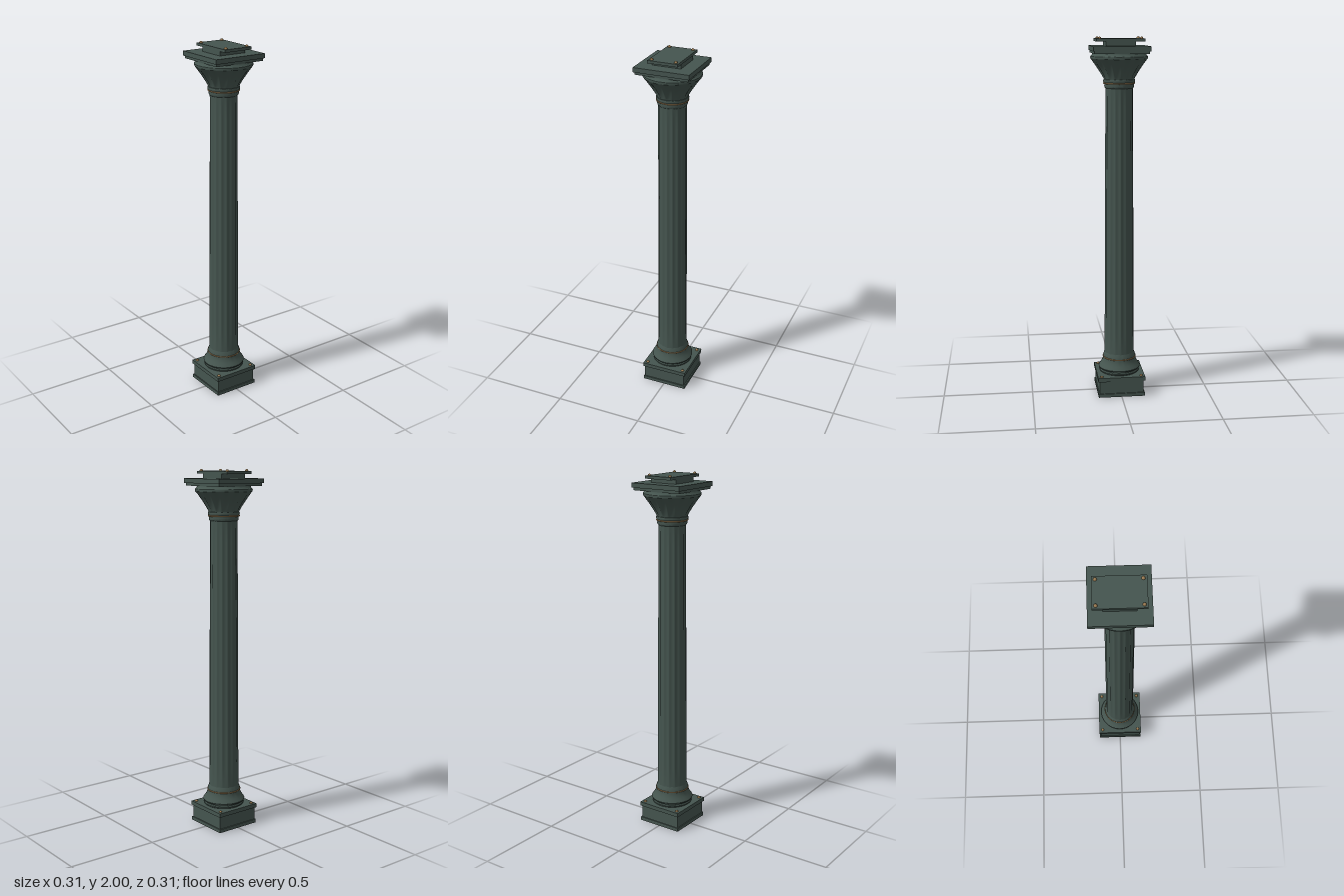
import * as THREE from 'three';
import { mergeVertices, toCreasedNormals } from 'three/addons/utils/BufferGeometryUtils.js';

const iron = new THREE.MeshStandardMaterial({ color: 0x45554f });
iron.name = 'dark green iron';
const bronze = new THREE.MeshStandardMaterial({ color: 0x977850 });
bronze.name = 'bronze';

const FLUTES = 16;

export function createModel() {
  const group = new THREE.Group();
  group.name = 'column';

  const add = (name, geometry, material = iron, x = 0, y = 0, z = 0) => {
    const mesh = new THREE.Mesh(geometry, material);
    mesh.name = name;
    mesh.position.set(x, y, z);
    group.add(mesh);
    return mesh;
  };
  // square or rectangular slab between two heights
  const slab = (name, halfX, halfZ, y0, y1) =>
    add(name, new THREE.BoxGeometry(halfX * 2, y1 - y0, halfZ * 2), iron, 0, (y0 + y1) / 2);
  const points = (list) => list.map(([r, y]) => new THREE.Vector2(r, y));
  // turned moulding with crisp edges
  const turned = (name, list) =>
    add(name, toCreasedNormals(new THREE.LatheGeometry(points(list), 64), 0.6));
  // turned surface with shallow flutes; depth(y) gives the cut
  const fluted = (name, list, depth) => {
    let geo = new THREE.LatheGeometry(points(list), FLUTES * 8);
    const p = geo.attributes.position;
    for (let i = 0; i < p.count; i++) {
      const x = p.getX(i), z = p.getZ(i), r = Math.hypot(x, z);
      const cut = depth(p.getY(i)) * Math.abs(Math.sin(Math.atan2(x, z) * FLUTES / 2));
      p.setX(i, x * (r - cut) / r);
      p.setZ(i, z * (r - cut) / r);
    }
    geo.deleteAttribute('uv');
    geo.deleteAttribute('normal');
    geo = mergeVertices(geo, 1e-5);
    geo.computeVertexNormals();
    return add(name, geo);
  };
  const bolts = (name, dx, dz, y, r, h) => {
    for (const sx of [-1, 1]) for (const sz of [-1, 1]) {
      const dome = new THREE.SphereGeometry(r, 14, 6, 0, Math.PI * 2, 0, Math.PI / 2);
      dome.scale(1, h / r, 1);
      add(name, dome, bronze, sx * dx, y, sz * dz);
    }
  };
  const ring = (name, radius, y) => {
    const geo = new THREE.TorusGeometry(radius, 0.004, 8, 64);
    geo.rotateX(Math.PI / 2);
    add(name, geo, bronze, 0, y, 0);
  };

  // square plinth
  slab('plinthFoot', 0.131, 0.131, 0, 0.02);
  slab('plinthBlock', 0.125, 0.125, 0.02, 0.092);
  slab('plinthCap', 0.133, 0.133, 0.092, 0.115);
  bolts('plinthBolt', 0.112, 0.112, 0.115, 0.009, 0.008);

  // round base mouldings
  turned('baseMoulding', [
    [0.106, 0.115], [0.112, 0.119], [0.113, 0.126], [0.108, 0.132],
    [0.108, 0.136], [0.116, 0.139], [0.118, 0.146], [0.113, 0.154],
    [0.104, 0.166], [0.097, 0.18], [0.093, 0.193], [0.092, 0.205],
    [0.09, 0.215], [0.083, 0.232],
  ]);
  ring('baseRing', 0.091, 0.202);

  // tapering fluted shaft
  const shaft = [];
  for (let i = 0; i <= 24; i++) {
    const t = i / 24;
    shaft.push([0.084 - 0.009 * t, 0.215 + 1.525 * t]);
  }
  fluted('shaft', shaft, (y) => 0.004 * Math.min(1, Math.max(0, (y - 0.24) / 0.06), Math.max(0, (1.73 - y) / 0.04)));

  // necking below the capital
  turned('necking', [
    [0.073, 1.725], [0.079, 1.73], [0.081, 1.737], [0.08, 1.743],
    [0.081, 1.752], [0.085, 1.758], [0.087, 1.766], [0.085, 1.773], [0.078, 1.776],
  ]);
  ring('neckRing', 0.083, 1.753);

  // flared fluted bell
  const bell = [];
  for (let i = 0; i <= 14; i++) {
    const t = i / 14;
    bell.push([0.081 + 0.073 * Math.pow(t, 1.15), 1.77 + 0.113 * t]);
  }
  fluted('capitalBell', bell, (y) => 0.009 * Math.sin(Math.PI * THREE.MathUtils.clamp((y - 1.77) / 0.113, 0, 1)));
  turned('capitalLip', [
    [0.15, 1.88], [0.154, 1.883], [0.156, 1.89], [0.155, 1.896],
    [0.15, 1.901], [0.146, 1.905], [0.144, 1.914],
  ]);

  // square abacus
  slab('abacusLower', 0.146, 0.146, 1.912, 1.926);
  slab('abacus', 0.153, 0.153, 1.926, 1.951);

  // mounting block and bolted plate
  slab('mountingBlock', 0.08, 0.08, 1.951, 1.975);
  slab('mountingPlate', 0.13, 0.083, 1.975, 1.99);
  bolts('plateBolt', 0.112, 0.066, 1.99, 0.009, 0.01);

  return group;
}
